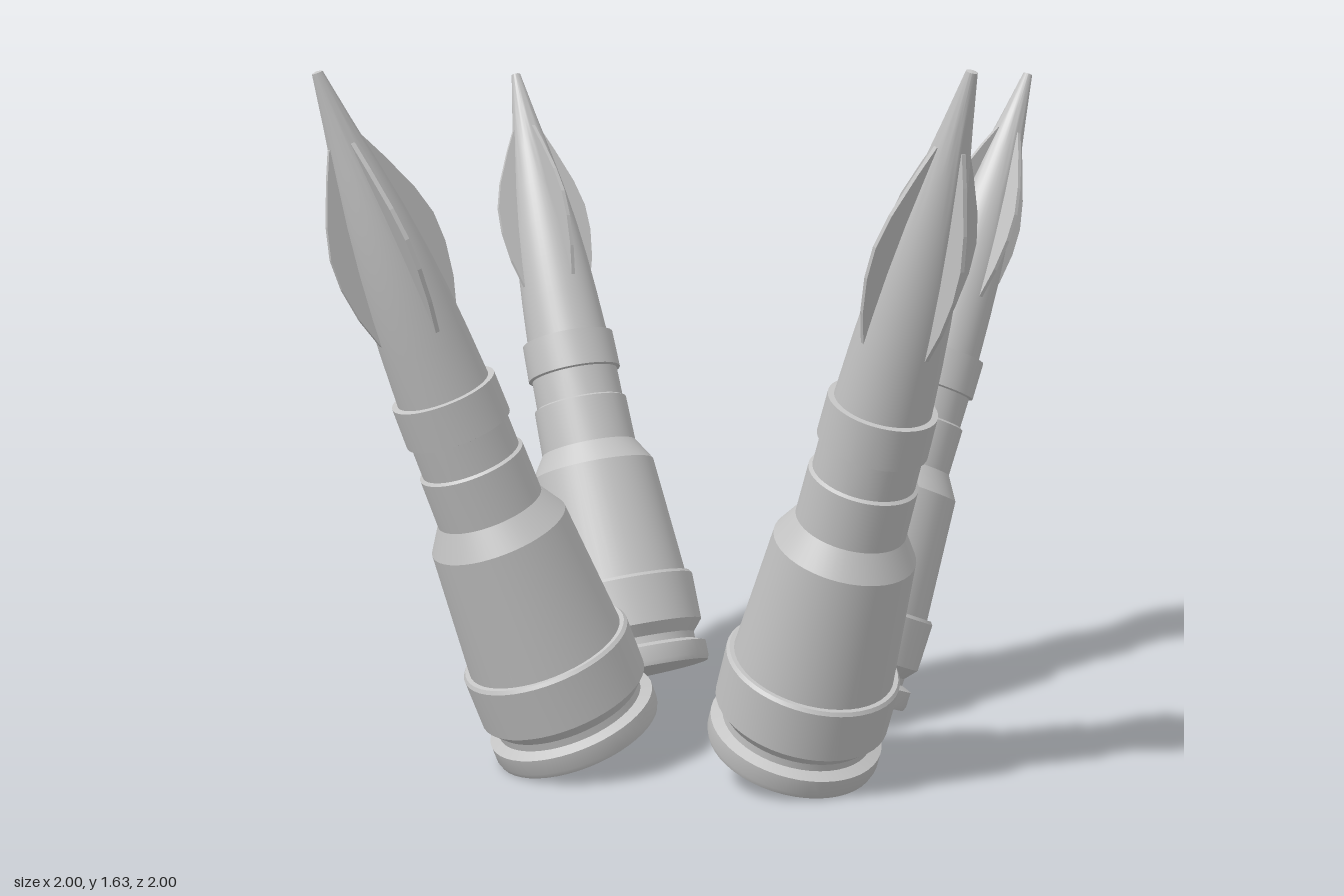
import * as THREE from 'three';
import { toCreasedNormals } from 'three/addons/utils/BufferGeometryUtils.js';

const TILT = Math.atan(0.4);
const BASE_RADIUS = 0.2;
const BASE_OFFSET = 0.367;

// Turned part from [radius, height] pairs, with sharp steps
function turned(name, profile, material) {
  const points = profile.map(([r, y]) => new THREE.Vector2(r, y));
  const geometry = toCreasedNormals(new THREE.LatheGeometry(points, 48), 0.4);
  const mesh = new THREE.Mesh(geometry, material);
  mesh.name = name;
  return mesh;
}

// Thin swept blade lying in the x-y plane, rooted inside the tip
function finGeometry() {
  const shape = new THREE.Shape([
    [0.03, 1.07], [0.099, 1.065], [0.122, 1.14], [0.134, 1.22], [0.132, 1.29],
    [0.112, 1.36], [0.072, 1.45], [0.042, 1.51], [0.015, 1.51],
  ].map(([x, y]) => new THREE.Vector2(x, y)));
  const geometry = new THREE.ExtrudeGeometry(shape, { depth: 0.01, bevelEnabled: false });
  geometry.translate(0, 0, -0.005);
  return geometry;
}

function createShell(material) {
  const shell = new THREE.Group();

  // Rim, extractor groove and wide collar
  shell.add(turned('base', [
    [0, 0], [0.2, 0], [0.204, 0.012], [0.204, 0.05], [0.178, 0.06], [0.178, 0.078],
    [0.204, 0.108], [0.204, 0.23], [0.198, 0.238], [0.18, 0.238],
  ], material));

  // Tapered casing, shoulder and stepped neck
  shell.add(turned('casing', [
    [0.188, 0.23], [0.163, 0.55], [0.126, 0.61], [0.124, 0.73], [0.116, 0.735],
    [0.115, 0.812], [0.124, 0.815], [0.122, 0.912], [0.1, 0.914],
  ], material));

  // Ogive tip
  shell.add(turned('tip', [
    [0.109, 0.9], [0.102, 1.03], [0.095, 1.13], [0.085, 1.23], [0.07, 1.34],
    [0.051, 1.45], [0.031, 1.56], [0.012, 1.672], [0, 1.675],
  ], material));

  // Four fins around the tip
  const geometry = finGeometry();
  for (let i = 0; i < 4; i++) {
    const fin = new THREE.Mesh(geometry, material);
    fin.name = 'fin';
    fin.rotation.y = i * Math.PI / 2;
    shell.add(fin);
  }
  return shell;
}

export function createModel() {
  const model = new THREE.Group();
  model.name = 'shellCluster';
  const metal = new THREE.MeshStandardMaterial({ color: 0xc4c4c4 });
  metal.name = 'grey metal';

  // Four shells leaning outward in a cross
  for (let i = 0; i < 4; i++) {
    const arm = new THREE.Group();
    arm.name = 'shell';
    const shell = createShell(metal);
    shell.name = 'leaningShell';
    shell.position.set(BASE_OFFSET, BASE_RADIUS * Math.sin(TILT), 0);
    shell.rotation.z = -TILT;
    arm.add(shell);
    arm.rotation.y = i * Math.PI / 2;
    model.add(arm);
  }
  return model;
}
